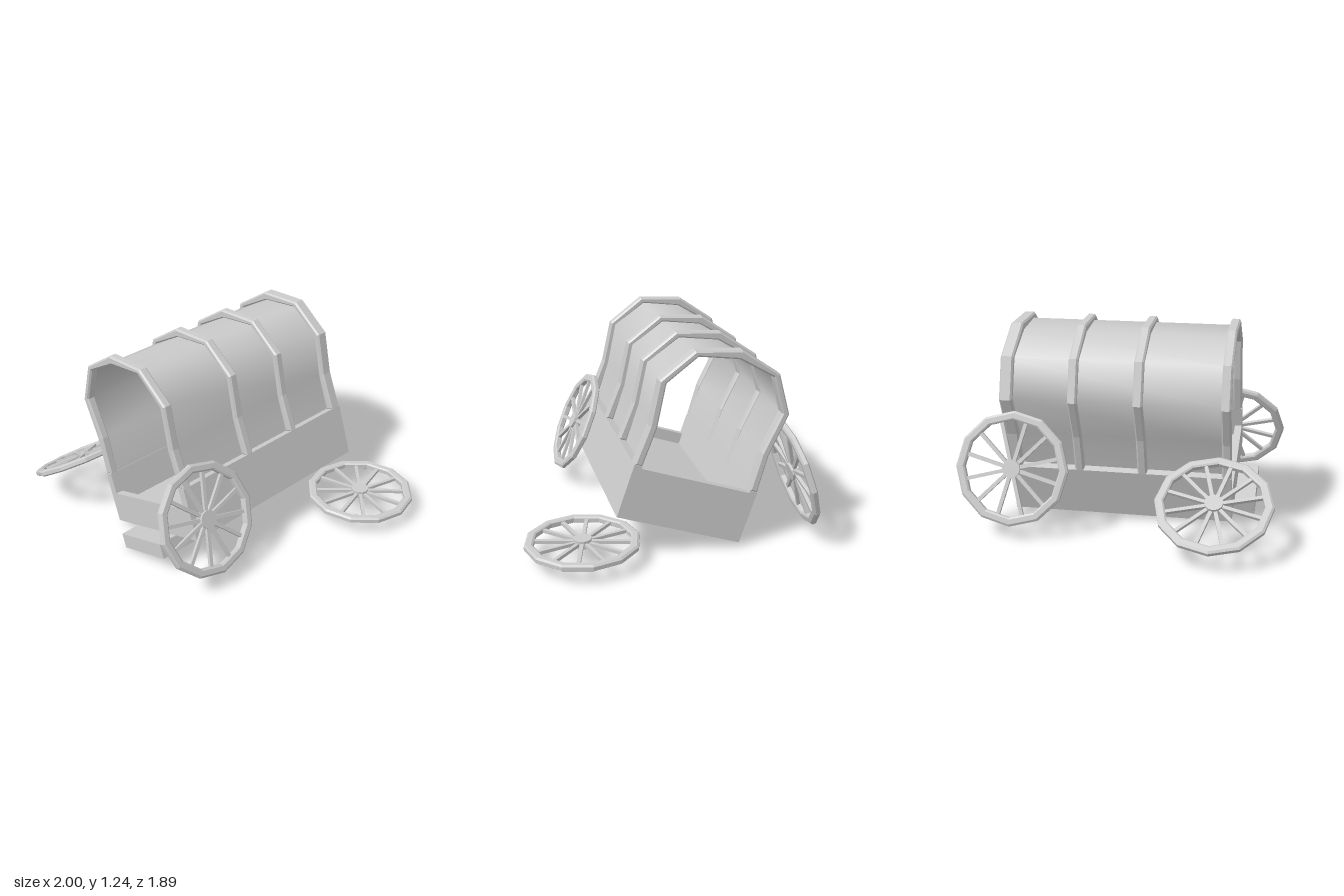
import * as THREE from 'three';

const mat = new THREE.MeshStandardMaterial({ color: 0xcccccc, flatShading: true });
const clothMat = new THREE.MeshStandardMaterial({ color: 0xcccccc, side: THREE.DoubleSide });

function add(parent, name, geometry, x = 0, y = 0, z = 0, material = mat) {
  const mesh = new THREE.Mesh(geometry, material);
  mesh.name = name;
  mesh.position.set(x, y, z);
  parent.add(mesh);
  return mesh;
}

// Box given by its min and max corners
function board(parent, name, [x0, y0, z0], [x1, y1, z1]) {
  return add(parent, name, new THREE.BoxGeometry(x1 - x0, y1 - y0, z1 - z0),
    (x0 + x1) / 2, (y0 + y1) / 2, (z0 + z1) / 2);
}

// Full arch from the right half, running from the -x foot over the top to the +x foot
function arch(half) {
  const left = half.map(([x, y]) => [-x, y]);
  return [...left, ...half.slice(0, -1).reverse()];
}

const hoopOuter = arch([[0.393, 0.33], [0.38, 0.57], [0.411, 0.838], [0.266, 1.054], [0, 1.128]]);
const hoopInner = arch([[0.343, 0.33], [0.333, 0.57], [0.366, 0.833], [0.237, 1.026], [0, 1.074]]);
const clothLine = arch([[0.345, 0.32], [0.347, 0.57], [0.38, 0.835], [0.238, 1.027], [0, 1.077]]);

// Angular hoop with softened edges
function hoop(parent, z0, z1) {
  const pts = [...hoopOuter, ...[...hoopInner].reverse()].map(([x, y]) => new THREE.Vector2(x, y));
  const b = 0.01;
  const geo = new THREE.ExtrudeGeometry(new THREE.Shape(pts), {
    depth: z1 - z0 - 2 * b, bevelThickness: b, bevelSize: b, bevelOffset: -b, bevelSegments: 1,
  });
  add(parent, 'hoop', geo, 0, 0, z0 + b);
}

// Thin cloth stretched along the hoops
function cover(parent) {
  const geo = new THREE.PlaneGeometry(1, 1, clothLine.length - 1, 1);
  const p = geo.attributes.position;
  const n = clothLine.length;
  for (let i = 0; i < p.count; i++) {
    const [x, y] = clothLine[i % n];
    p.setXYZ(i, x, y, i < n ? -0.66 : 0.64);
  }
  geo.computeVertexNormals();
  add(parent, 'clothCover', geo, 0, 0, 0, clothMat);
}

// Twelve-sided wheel lying in the xz plane, tilted about z
function wheel(parent, name, x, y, z, tilt) {
  const g = new THREE.Group();
  g.name = name;
  const section = [[0.29, -0.013], [0.3, -0.02], [0.33, -0.02], [0.343, -0.011],
    [0.343, 0.011], [0.33, 0.02], [0.3, 0.02], [0.29, 0.013], [0.29, -0.013]];
  add(g, 'rim', new THREE.LatheGeometry(section.map(([r, h]) => new THREE.Vector2(r, h)), 12));
  add(g, 'hub', new THREE.CylinderGeometry(0.055, 0.055, 0.05, 12));
  for (let i = 0; i < 12; i++) {
    const spoke = new THREE.BoxGeometry(0.26, 0.02, 0.022);
    spoke.translate(0.165, 0, 0);
    spoke.rotateY((i + 0.5) * Math.PI / 6);
    add(g, 'spoke', spoke);
  }
  g.position.set(x, y, z);
  g.rotation.z = THREE.MathUtils.degToRad(tilt);
  parent.add(g);
}

export function createModel() {
  const model = new THREE.Group();
  model.name = 'brokenWagon';

  // Leaning wagon body
  const body = new THREE.Group();
  body.name = 'body';
  body.position.set(0.0965, 0.158, 0);
  body.rotation.z = THREE.MathUtils.degToRad(19.05);
  model.add(body);

  // Box with its floor set above the lower edge
  for (const s of [-1, 1]) {
    const a = Math.min(s * 0.343, s * 0.393), b = Math.max(s * 0.343, s * 0.393);
    board(body, 'sideWall', [a, 0, -0.7], [b, 0.332, 0.67]);
  }
  board(body, 'floor', [-0.343, 0.1, -0.65], [0.343, 0.12, 0.63]);
  board(body, 'frontBoard', [-0.343, 0, 0.625], [0.343, 0.196, 0.67]);
  board(body, 'backBoard', [-0.343, 0, -0.7], [0.343, 0.318, -0.65]);

  // Step under the front, open below
  const w = 0.012;
  board(body, 'stepTop', [-0.193, -w, 0.46], [0.193, 0, 0.797]);
  board(body, 'stepFront', [-0.193, -0.096, 0.797 - w], [0.193, -w, 0.797]);
  board(body, 'stepBack', [-0.193, -0.096, 0.46], [0.193, -w, 0.46 + w]);
  board(body, 'stepRight', [-0.193, -0.096, 0.46 + w], [-0.193 + w, -w, 0.797 - w]);
  board(body, 'stepLeft', [0.193 - w, -0.096, 0.46 + w], [0.193, -w, 0.797 - w]);

  // Hoops and cover
  for (const [z0, z1] of [[0.612, 0.67], [0.1, 0.158], [-0.288, -0.232], [-0.7, -0.622]]) hoop(body, z0, z1);
  cover(body);

  // Loose wheels
  wheel(model, 'frontLeftWheel', 0.476, 0.415, 0.6, -65);
  wheel(model, 'backLeftWheel', 0.654, 0.11, -0.607, 0);
  wheel(model, 'frontRightWheel', -0.704, 0.302, 0.6, 31.7);
  wheel(model, 'backRightWheel', -0.642, 0.42, -0.607, 74.4);

  return model;
}
